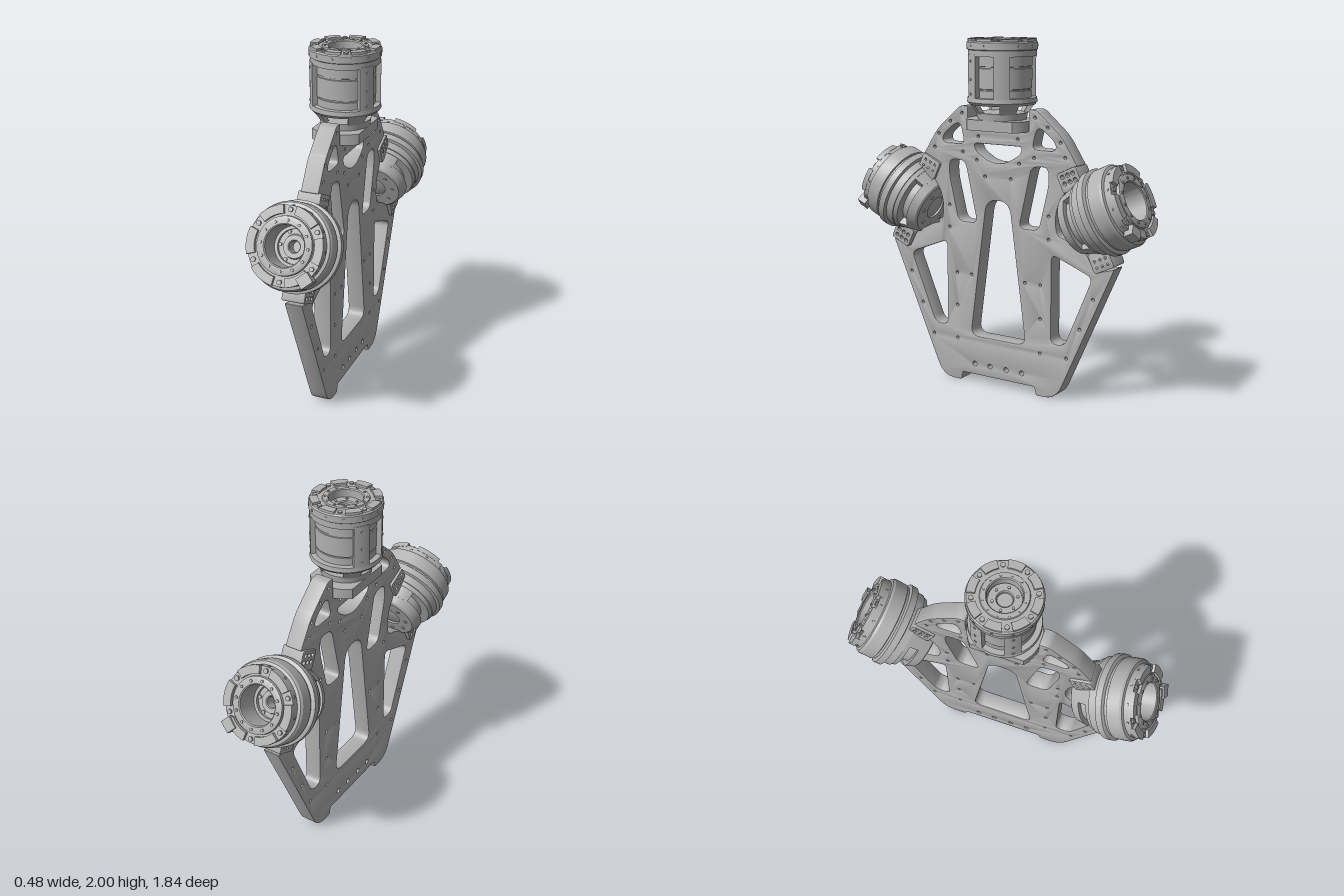
import * as THREE from 'three';
import { toCreasedNormals } from 'three/addons/utils/BufferGeometryUtils.js';

const metal = new THREE.MeshStandardMaterial({ color: 0xb0b0b0 });
metal.name = 'grey metal';
const V = (x, y) => new THREE.Vector2(x, y);
const rad = THREE.MathUtils.degToRad;

function add(group, name, geometry, crease = 0.5) {
  const mesh = new THREE.Mesh(toCreasedNormals(geometry, crease), metal);
  mesh.name = name;
  group.add(mesh);
  return mesh;
}

// Polygon with rounded corners; each point is [x, y, radius]
function rounded(points, radius, Type = THREE.Shape) {
  const path = new Type(), n = points.length;
  points.forEach(([x, y, r = radius], i) => {
    const p = V(x, y);
    const a = V(...points[(i + n - 1) % n]), b = V(...points[(i + 1) % n]);
    const toward = (q) => p.clone().lerp(q, Math.min(0.48, r / p.distanceTo(q)));
    const s = toward(a), e = toward(b);
    if (i) path.lineTo(s.x, s.y); else path.moveTo(s.x, s.y);
    path.quadraticCurveTo(x, y, e.x, e.y);
  });
  path.closePath();
  return path;
}

const circle = (x, y, r) => new THREE.Path().absarc(x, y, r, 0, Math.PI * 2, true);
const flip = (pts) => pts.map(([x, ...rest]) => [-x, ...rest]);
const mirrored = (pts) => [...pts, ...flip(pts).reverse()];

// Slab drawn in (z, y), centred on x = 0
function slab(shape, thickness, bevel) {
  const g = new THREE.ExtrudeGeometry(shape, {
    depth: thickness - 2 * bevel, bevelEnabled: true, bevelThickness: bevel,
    bevelSize: bevel, bevelOffset: -bevel, bevelSegments: 2, curveSegments: 8,
  });
  return g.translate(0, 0, bevel - thickness / 2).rotateY(-Math.PI / 2);
}

// Closed ring turned from an [r, y] profile, outer side listed upward
function turned(profile) {
  const pts = [...profile, profile[0]].map(([r, y]) => V(r, y));
  return new THREE.LatheGeometry(pts, 64);
}

// Piece of a ring between two angles; k scales its radius at the bottom
function sector(ri, ro, a0, a1, y0, y1, k = 1) {
  const s = new THREE.Shape();
  s.absarc(0, 0, ro, rad(a0), rad(a1), false);
  s.absarc(0, 0, ri, rad(a1), rad(a0), true);
  const g = new THREE.ExtrudeGeometry(s, { depth: y1 - y0, bevelEnabled: false, curveSegments: 10 });
  g.rotateX(-Math.PI / 2).translate(0, y0, 0);
  const p = g.attributes.position;
  for (let i = 0; i < p.count; i++) {
    const f = p.getY(i) < (y0 + y1) / 2 ? k : 1;
    p.setX(i, p.getX(i) * f);
    p.setZ(i, p.getZ(i) * f);
  }
  return g;
}

// Circle of upright bolt heads
function bolts(group, name, n, r, y, size, start = 0) {
  for (let i = 0; i < n; i++) {
    const a = start + (i / n) * Math.PI * 2;
    const g = new THREE.CylinderGeometry(size, size, 0.012, 10);
    add(group, name, g.translate(r * Math.cos(a), y, r * Math.sin(a)));
  }
}

// Circle of bolts pointing out of a cylinder's side
function sideBolts(group, name, n, r, y, size, start = 0) {
  for (let i = 0; i < n; i++) {
    const g = new THREE.CylinderGeometry(size, size, 0.01, 10).rotateZ(Math.PI / 2).translate(r, y, 0);
    add(group, name, g.rotateY(start + (i / n) * Math.PI * 2));
  }
}

// Flat frame with lightening windows and screw holes
function frame() {
  const g = new THREE.Group();
  g.name = 'frame';
  const shape = rounded(mirrored([
    [0.245, 0.05, 0.01], [0.255, 0.002, 0.012], [0.345, 0.002, 0.06], [0.40, 0.04, 0.05], [0.425, 0.09, 0.03],
    [0.737, 0.80, 0.01], [0.62, 0.765, 0.01], [0.57, 0.86, 0.02], [0.45, 0.925, 0.05], [0.385, 0.94, 0.04],
    [0.37, 1.03, 0.05], [0.39, 1.12, 0.04], [0.435, 1.19, 0.02], [0.395, 1.285, 0.01], [0.505, 1.335, 0.01],
    [0.41, 1.485, 0.05], [0.25, 1.622, 0.02], [0.2, 1.622, 0.01], [0.2, 1.5, 0.005],
  ]), 0.02);
  const hole = (pts, r) => shape.holes.push(rounded(pts, r, THREE.Path));
  hole(mirrored([[0.185, 0.285], [0.075, 1.10, 0.075]]), 0.06);
  hole(mirrored([[0.16, 1.415, 0.03], [0.145, 1.37, 0.03], [0.05, 1.312, 0.05]]), 0.03);
  const sideWindows = [
    [[0.325, 1.315], [0.22, 1.31], [0.14, 0.958], [0.265, 0.958], [0.328, 1.22]],
    [[0.605, 0.735], [0.35, 0.835], [0.35, 0.325], [0.435, 0.325]],
    [[0.37, 1.45], [0.285, 1.52], [0.25, 1.52], [0.222, 1.405], [0.37, 1.405]],
  ];
  const screws = [
    [0.45, 0.255], [0.28, 0.255], [0.28, 0.455], [0.28, 0.65], [0.18, 0.65], [0.53, 0.435], [0.61, 0.615],
    [0.33, 1.045], [0.33, 0.915], [0.085, 1.23], [0.43, 1.375], [0.40, 1.455], [0.32, 1.53], [0.24, 1.58],
    [0.13, 1.455], [0.235, 1.36], [0.14, 1.32],
  ];
  for (const m of [1, -1]) {
    sideWindows.forEach((w) => hole(m > 0 ? w : flip(w), 0.04));
    screws.forEach(([x, y]) => shape.holes.push(circle(m * x, y, 0.008)));
    [0.055, 0.16].forEach((x) => shape.holes.push(circle(m * x, 0.115, 0.014)));
  }
  add(g, 'framePlate', slab(shape, 0.1, 0.005), 0.4);
  return g;
}

// Upright motor in a pillared housing
function topMotor() {
  const g = new THREE.Group();
  g.name = 'topMotor';
  const base = new THREE.Shape();
  const a = Math.acos(0.135 / 0.2);
  base.absarc(0, 0, 0.2, a, Math.PI - a, false);
  base.absarc(0, 0, 0.2, Math.PI + a, 2 * Math.PI - a, false);
  const baseGeo = new THREE.ExtrudeGeometry(base, { depth: 0.06, bevelEnabled: false });
  add(g, 'motorBase', baseGeo.rotateX(-Math.PI / 2).translate(0, 1.497, 0));
  add(g, 'baseDisc', turned([[0, 1.55], [0.135, 1.55], [0.142, 1.595], [0, 1.595]]));
  add(g, 'lowerRing', turned([[0.13, 1.64], [0.182, 1.64], [0.195, 1.655], [0.192, 1.68], [0.13, 1.68]]));
  add(g, 'motorBody', turned([[0, 1.65], [0.162, 1.65], [0.162, 1.72], [0.158, 1.722], [0.158, 1.728],
    [0.165, 1.73], [0.165, 1.84], [0.16, 1.842], [0.16, 1.85], [0.165, 1.852], [0.165, 1.93], [0, 1.93]]));
  add(g, 'topRing', turned([[0.13, 1.905], [0.19, 1.905], [0.19, 1.938], [0.196, 1.942], [0.196, 1.98],
    [0.188, 1.988], [0.125, 1.988], [0.122, 1.995], [0.095, 1.995], [0.09, 1.99], [0.09, 1.925]]));
  add(g, 'hub', turned([[0.04, 1.925], [0.085, 1.925], [0.085, 1.95], [0.045, 1.95], [0.04, 1.945]]));
  for (let q = 0; q < 4; q++) {
    const mid = q * 90 + (q % 2 ? 58.5 : 31.5);
    add(g, 'housingPillar', sector(0.155, 0.192, mid - 13.5, mid + 13.5, 1.67, 1.915));
    add(g, 'coneLeg', sector(0.15, 0.185, q * 90 + 27, q * 90 + 63, 1.585, 1.65, 0.75));
    for (const y of [1.7, 1.78, 1.88]) {
      const b = new THREE.CylinderGeometry(0.008, 0.008, 0.01, 10).rotateZ(Math.PI / 2);
      add(g, 'pillarBolt', b.translate(0.19, y, 0).rotateY(rad(mid)));
    }
  }
  for (let i = 0; i < 8; i++) add(g, 'topTab', sector(0.145, 0.19, i * 45 - 14, i * 45 + 14, 1.98, 2.0));
  bolts(g, 'rimBolt', 8, 0.165, 1.99, 0.013, rad(22.5));
  bolts(g, 'faceBolt', 12, 0.109, 1.993, 0.007);
  bolts(g, 'hubBolt', 6, 0.064, 1.95, 0.008);
  sideBolts(g, 'ringBolt', 12, 0.193, 1.962, 0.008);
  return g;
}

// Tilted motor: local +y points outward from its face
function sideMotor(name, side) {
  const g = new THREE.Group();
  g.name = name;
  add(g, 'motorBody', turned([[0.09, -0.26], [0.218, -0.26], [0.222, -0.215], [0.24, -0.21], [0.242, -0.172],
    [0.232, -0.166], [0.222, -0.164], [0.222, -0.152], [0.23, -0.148], [0.23, -0.075], [0.222, -0.062],
    [0.206, -0.058], [0.206, -0.018], [0.152, -0.018], [0.15, -0.002], [0.146, 0], [0.112, 0], [0.106, -0.005],
    [0.106, -0.13], [0.09, -0.13]]));
  add(g, 'boreFloor', turned([[0.03, -0.2], [0.1, -0.2], [0.1, -0.15], [0.065, -0.15], [0.06, -0.135],
    [0.035, -0.135], [0.03, -0.14]]));
  bolts(g, 'boreBolt', 6, 0.082, -0.148, 0.01);
  bolts(g, 'faceBolt', 12, 0.129, 0, 0.008);
  for (let i = 0; i < 6; i++) add(g, 'rimTab', sector(0.162, 0.208, i * 60 - 20, i * 60 + 20, -0.03, 0));
  bolts(g, 'rimBolt', 6, 0.184, -0.014, 0.013, rad(30));
  sideBolts(g, 'rimSideBolt', 12, 0.205, -0.038, 0.008);
  // Open cage behind the flange
  add(g, 'cageFrontRing', turned([[0.15, -0.285], [0.205, -0.285], [0.215, -0.25], [0.15, -0.25]]));
  add(g, 'cageBackRing', turned([[0.07, -0.4], [0.155, -0.4], [0.168, -0.39], [0.185, -0.34], [0.14, -0.34], [0.07, -0.375]]));
  add(g, 'innerMotor', turned([[0, -0.392], [0.06, -0.392], [0.15, -0.36], [0.155, -0.34], [0.155, -0.25], [0, -0.25]]));
  bolts(g, 'backBolt', 8, 0.115, -0.4, 0.01);
  for (const m of [1, -1]) {
    add(g, 'cageLeg', sector(0.15, 0.207, m * 90 - 42, m * 90 + 42, -0.35, -0.27, 0.88));
    // Drilled mounting pad
    const pad = rounded([[0.175, -0.36], [0.288, -0.36], [0.288, -0.23], [0.175, -0.23]]
      .map(([z, y]) => [m * z, y]), 0.015);
    for (const z of [0.222, 0.26]) {
      for (const y of [-0.33, -0.295, -0.26]) pad.holes.push(circle(m * z, y, 0.011));
    }
    add(g, 'mountingPad', slab(pad, 0.13, 0.004));
  }
  // Cable block on the rim
  const block = new THREE.BoxGeometry(0.06, 0.055, 0.07).translate(0.205, -0.018, 0);
  add(g, 'cableBlock', block.rotateY(-side * rad(48)));
  g.position.set(0, 1.175, side * 0.83);
  g.rotation.x = side * rad(65);
  return g;
}

export function createModel() {
  const model = new THREE.Group();
  model.name = 'threeMotorFrame';
  model.add(frame(), topMotor(), sideMotor('frontMotor', 1), sideMotor('backMotor', -1));
  return model;
}
